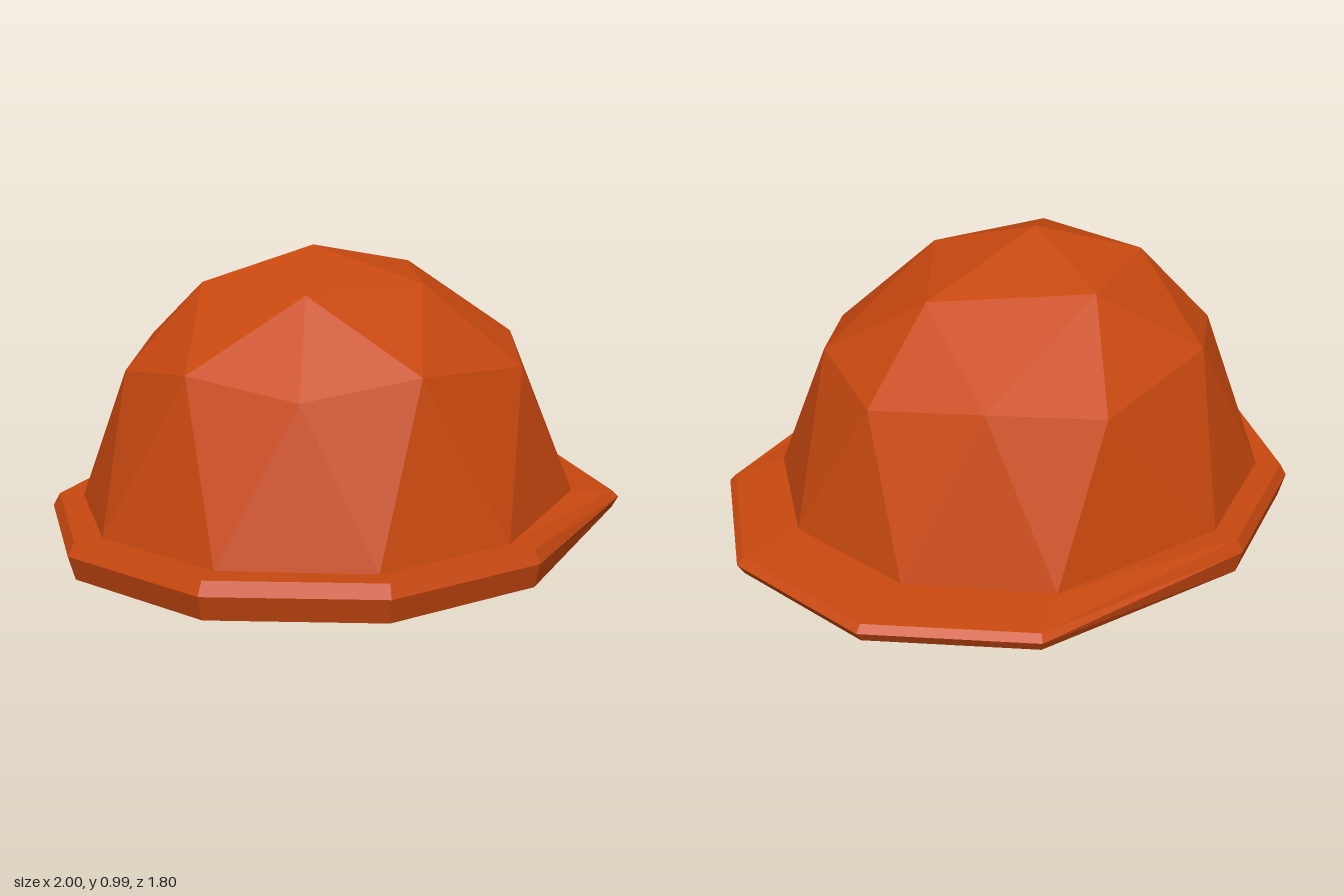
import * as THREE from 'three';

const N = 10;

// Complete a half ring (z >= 0, running from +x to -x) by mirroring it in z
function mirrorRing(half) {
  const back = half.filter((p) => p[2] > 0).reverse().map(([x, y, z]) => [x, y, -z]);
  return [...half, ...back];
}

function facetedMesh(name, triangles, material) {
  const geometry = new THREE.BufferGeometry();
  geometry.setAttribute('position', new THREE.Float32BufferAttribute(triangles.flat(2), 3));
  geometry.computeVertexNormals();
  const mesh = new THREE.Mesh(geometry, material);
  mesh.name = name;
  return mesh;
}

// Band of faces between two rings, facing outward when b is above a
function band(a, b) {
  const out = [];
  for (let i = 0; i < N; i++) {
    const j = (i + 1) % N;
    out.push([a[i], b[i], b[j]], [a[i], b[j], a[j]]);
  }
  return out;
}

export function createModel() {
  const group = new THREE.Group();
  group.name = 'hardHat';
  const orange = new THREE.MeshStandardMaterial({ color: 0xc8480f, flatShading: true });
  orange.name = 'orange shell';

  // Decagon where the dome meets the brim
  const foot = mirrorRing([[0.77, 0.12, 0.24], [0.49, 0.12, 0.64], [-0.14, 0.12, 0.79],
    [-0.61, 0.12, 0.64], [-0.89, 0.12, 0.24]]);

  // Dome: half of a once-subdivided icosahedron
  const apex = [-0.14, 0.99, 0];
  const crown = mirrorRing([[0.39, 0.88, 0], [-0.02, 0.88, 0.36], [-0.44, 0.88, 0.22]]);
  const waist = mirrorRing([[0.66, 0.6, 0], [0.51, 0.65, 0.36], [0.21, 0.6, 0.6],
    [-0.32, 0.65, 0.58], [-0.65, 0.6, 0.37], [-0.75, 0.65, 0]]);
  const dome = [];
  for (let j = 0; j < N; j++) {
    dome.push([foot[(j + N - 1) % N], waist[j], foot[j]]);
    dome.push([foot[j], waist[j], waist[(j + 1) % N]]);
  }
  for (let i = 0; i < 5; i++) {
    const next = crown[(i + 1) % 5];
    const low = waist[2 * i], after = waist[2 * i + 1], before = waist[(2 * i + N - 1) % N];
    dome.push([low, crown[i], after], [before, crown[i], low]);
    dome.push([after, crown[i], next], [apex, next, crown[i]]);
  }
  group.add(facetedMesh('dome', dome, orange));

  // Brim: bevelled edge, thinner on the peak side (+x)
  const plan = mirrorRing([[1, 0, 0.28], [0.665, 0, 0.73], [-0.14, 0, 0.9],
    [-0.67, 0, 0.73], [-1, 0, 0.28]]);
  const edge = (inset, yPeak, yRest) => plan.map(([x, , z]) =>
    [x * (1 - inset), x > 0 ? yPeak : yRest, z * (1 - inset)]);
  const opening = foot.map(([x, , z]) => [x, 0, z]);
  const rings = [opening, edge(0.023, 0.035, 0), edge(0, 0.073, 0.08),
    edge(0.023, 0.095, 0.122), foot];
  const brim = [];
  for (let r = 0; r < rings.length - 1; r++) brim.push(...band(rings[r], rings[r + 1]));
  group.add(facetedMesh('brim', brim, orange));

  // Hollow: sloping inner wall closed by a flat ceiling
  const centre = [-0.14, 0.34, 0];
  const ceiling = foot.map(([x, , z]) => [-0.14 + (x + 0.14) * 0.76, 0.34, z * 0.76]);
  group.add(facetedMesh('innerWall', band(ceiling, opening), orange));
  group.add(facetedMesh('innerCeiling',
    ceiling.map((p, i) => [centre, p, ceiling[(i + 1) % N]]), orange));

  return group;
}
